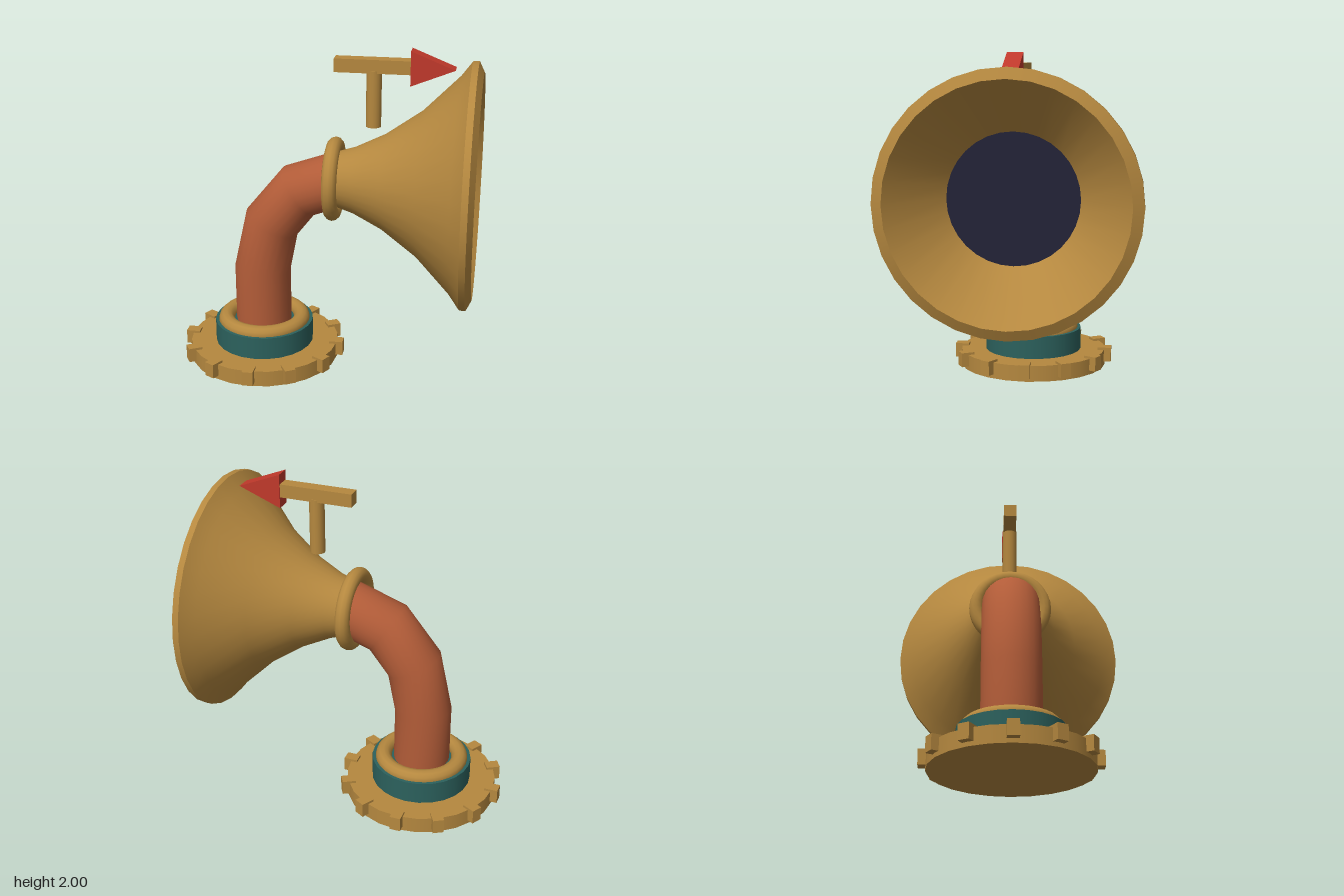
import * as THREE from 'three';

const mat = (name, color, extra = {}) => {
  const m = new THREE.MeshStandardMaterial({ color, ...extra });
  m.name = name;
  return m;
};

export function createModel() {
  const brass = mat('brass', 0xb5883f);
  const copper = mat('copper', 0xb25c38);
  const teal = mat('teal', 0x2c615d);
  const navy = mat('dark navy', 0x232338);
  const red = mat('red', 0xc0392b);

  const root = new THREE.Group();
  const add = (name, geometry, material, x = 0, y = 0, z = 0, parent = root) => {
    const mesh = new THREE.Mesh(geometry, material);
    mesh.name = name;
    mesh.position.set(x, y, z);
    parent.add(mesh);
    return mesh;
  };

  // Toothed base
  const base = new THREE.Group();
  base.name = 'base';
  base.position.x = -0.4;
  root.add(base);
  add('baseDisc', new THREE.CylinderGeometry(0.465, 0.465, 0.1, 24), brass, 0, 0.05, 0, base);
  for (let i = 0; i < 12; i++) {
    const a = (i * Math.PI) / 6;
    const tooth = add('tooth', new THREE.BoxGeometry(0.085, 0.09, 0.067), brass,
      Math.cos(a) * 0.463, 0.07, -Math.sin(a) * 0.463, base);
    tooth.rotation.y = a;
  }
  add('collar', new THREE.CylinderGeometry(0.307, 0.307, 0.14, 24), teal, 0, 0.17, 0, base);
  add('collarRing', new THREE.TorusGeometry(0.237, 0.05, 12, 32), brass, 0, 0.24, 0, base)
    .rotation.x = Math.PI / 2;

  // Bent pipe: rings given as centre x, centre y and heading from vertical
  const rings = [[-0.4, 0.2, 0], [-0.402, 0.593, 0.09], [-0.338, 0.895, 0.445],
    [-0.168, 1.108, 0.97], [0.05, 1.185, 1.5]];
  const sides = 24, r = 0.173, pos = [], idx = [];
  rings.forEach(([cx, cy, t], j) => {
    for (let i = 0; i <= sides; i++) {
      const a = (i / sides) * Math.PI * 2;
      const u = Math.cos(a) * r;
      pos.push(cx + u * Math.cos(t), cy - u * Math.sin(t), -Math.sin(a) * r);
      if (j && i) {
        const d = j * (sides + 1) + i, c = d - 1, b = d - sides - 1, e = b - 1;
        idx.push(e, b, d, e, d, c);
      }
    }
  });
  const pipe = new THREE.BufferGeometry();
  pipe.setAttribute('position', new THREE.Float32BufferAttribute(pos, 3));
  pipe.setIndex(idx);
  pipe.computeVertexNormals();
  // Share the normals along the seam
  const n = pipe.attributes.normal;
  for (let j = 0; j < rings.length; j++) {
    const a = j * (sides + 1), b = a + sides;
    const v = new THREE.Vector3().fromBufferAttribute(n, a)
      .add(new THREE.Vector3().fromBufferAttribute(n, b)).normalize();
    n.setXYZ(a, v.x, v.y, v.z);
    n.setXYZ(b, v.x, v.y, v.z);
  }
  add('pipe', pipe, copper);

  // Horn, turned so that its axis points along +x
  const horn = new THREE.Group();
  horn.name = 'horn';
  horn.position.y = 1.195;
  horn.rotation.z = -Math.PI / 2;
  root.add(horn);
  const turn = (name, points) => add(name, new THREE.LatheGeometry(
    points.map(([radius, x]) => new THREE.Vector2(radius, x)), 32), brass, 0, 0, 0, horn);
  turn('hornBell', [[0.16, 0.04], [0.2, 0.17], [0.285, 0.345], [0.435, 0.56], [0.645, 0.77], [0.732, 0.835]]);
  turn('hornRim', [[0.732, 0.835], [0.732, 0.872]]);
  turn('hornLip', [[0.732, 0.872], [0.67, 0.903]]);
  turn('hornInside', [[0.67, 0.903], [0.375, 0.58]]);
  add('hornThroat', new THREE.CircleGeometry(0.377, 32), navy, 0, 0.581, 0, horn)
    .rotation.x = -Math.PI / 2;
  add('hornRing', new THREE.TorusGeometry(0.208, 0.045, 12, 32), brass, 0, 0.045, 0, horn)
    .rotation.x = Math.PI / 2;

  // Weather vane arrow
  const vane = new THREE.Group();
  vane.name = 'vane';
  root.add(vane);
  add('vanePost', new THREE.CylinderGeometry(0.045, 0.045, 0.34, 16), brass, 0.277, 1.705, 0, vane);
  add('vaneBar', new THREE.BoxGeometry(0.45, 0.08, 0.08), brass, 0.272, 1.9, 0, vane);
  const head = new THREE.Shape();
  head.moveTo(0.49, 1.795);
  head.lineTo(0.745, 1.898);
  head.lineTo(0.49, 2);
  head.closePath();
  add('vaneHead', new THREE.ExtrudeGeometry(head, { depth: 0.092, bevelEnabled: false }),
    red, 0, 0, -0.046, vane);

  return root;
}
